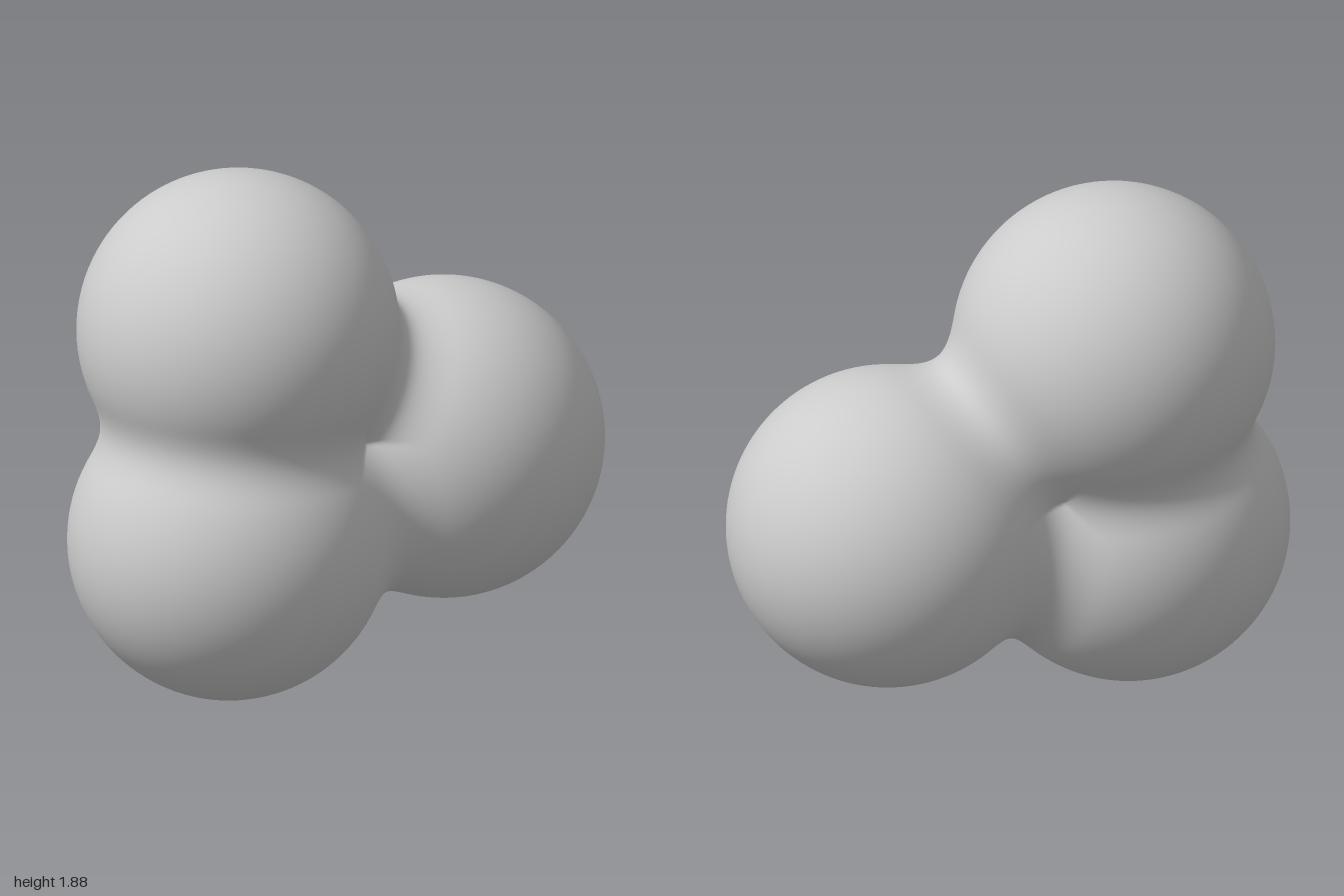
import * as THREE from 'three';
import { mergeVertices } from 'three/addons/utils/BufferGeometryUtils.js';

// Three equal balls that melt into one another
const RADIUS = 0.565;
const TOP = new THREE.Vector3(-0.165, 1.315, 0.335);
const BOTTOM = new THREE.Vector3(-0.132, 0.565, 0.435);
const BACK = new THREE.Vector3(0.16, 0.735, -0.435);

// Pairs of balls with the width of the fillet between them
const JOINTS = [[TOP, BOTTOM, 0.14], [TOP, BACK, 0.21], [BOTTOM, BACK, 0.21]];

// Signed distance to the blended surface
function distance(p) {
  let nearest = Infinity;
  let fillet = 0;
  for (const [a, b, width] of JOINTS) {
    const da = p.distanceTo(a) - RADIUS;
    const db = p.distanceTo(b) - RADIUS;
    const h = Math.max(width - Math.abs(da - db), 0);
    const smooth = Math.min(da, db) - (h * h) / (4 * width);
    nearest = Math.min(nearest, da, db);
    fillet = Math.min(fillet, smooth - Math.min(da, db));
  }
  // a pair far from the point must not thicken the nearest ball
  let result = nearest;
  for (const [a, b, width] of JOINTS) {
    const da = p.distanceTo(a) - RADIUS;
    const db = p.distanceTo(b) - RADIUS;
    const h = Math.max(width - Math.abs(da - db), 0);
    result = Math.min(result, Math.min(da, db) - (h * h) / (4 * width));
  }
  return fillet < 0 ? result : nearest;
}

// Push every vertex of a sphere outwards from a point inside all three balls
function blendedBalls() {
  const core = new THREE.Vector3(-0.02, 0.9, 0.035);
  let geometry = new THREE.IcosahedronGeometry(1, 36);
  geometry.deleteAttribute('uv');
  geometry.deleteAttribute('normal');
  geometry = mergeVertices(geometry, 1e-4);
  const position = geometry.attributes.position;
  const direction = new THREE.Vector3();
  const point = new THREE.Vector3();
  for (let i = 0; i < position.count; i++) {
    direction.fromBufferAttribute(position, i).normalize();
    let inside = 0;
    let outside = 2;
    for (let step = 0; step < 24; step++) {
      const middle = (inside + outside) / 2;
      point.copy(core).addScaledVector(direction, middle);
      if (distance(point) < 0) inside = middle;
      else outside = middle;
    }
    position.setXYZ(i, point.x, point.y, point.z);
  }
  geometry.computeVertexNormals();
  return geometry;
}

export function createModel() {
  const group = new THREE.Group();
  group.name = 'blendedBallCluster';
  const body = new THREE.Mesh(
    blendedBalls(),
    new THREE.MeshStandardMaterial({ color: 0xcccccc })
  );
  body.name = 'blendedBalls';
  group.add(body);
  return group;
}
